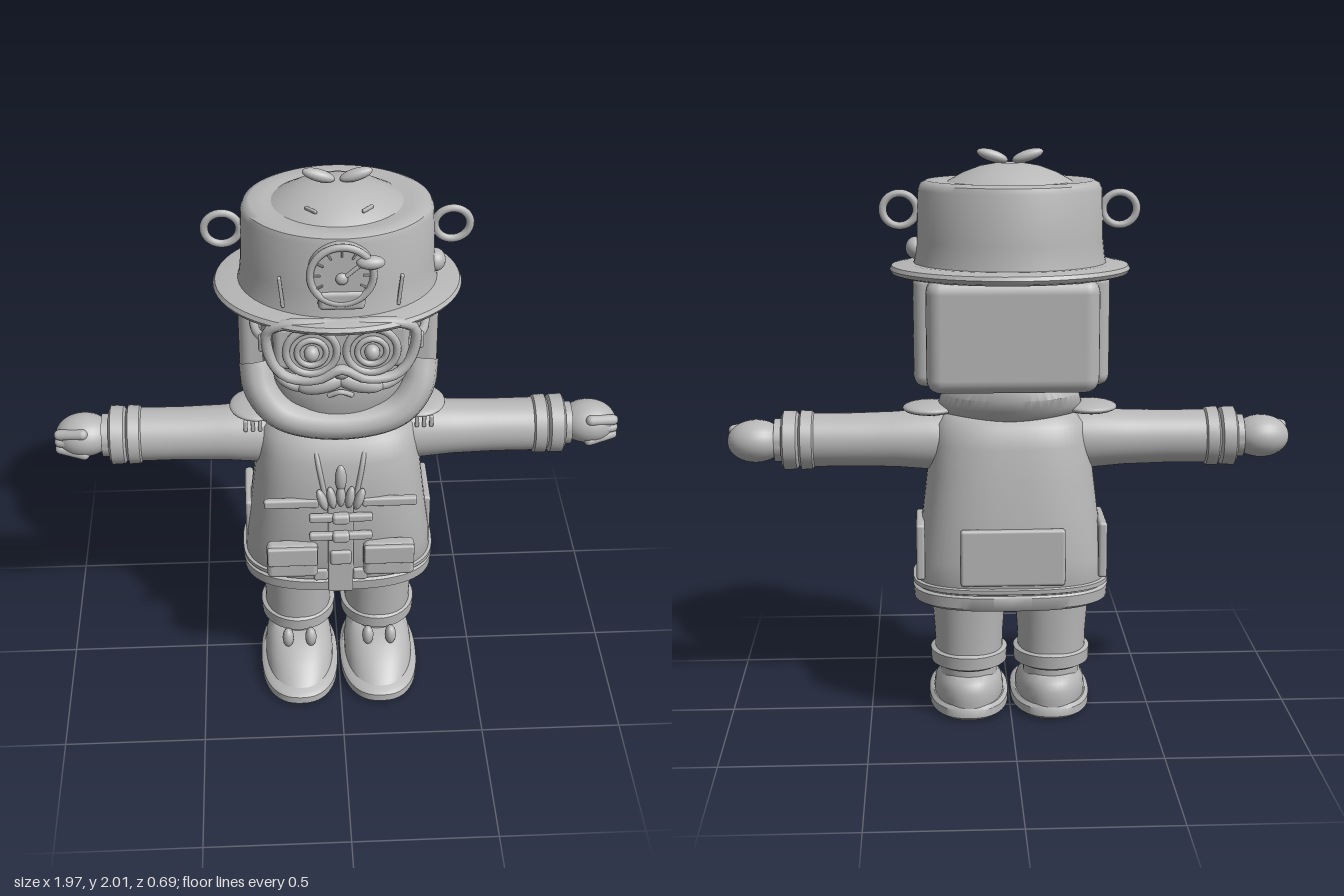
import * as THREE from 'three';
import { toCreasedNormals } from 'three/addons/utils/BufferGeometryUtils.js';
import { RoundedBoxGeometry } from 'three/addons/geometries/RoundedBoxGeometry.js';

export function createModel() {
  const model = new THREE.Group();
  const grey = new THREE.MeshStandardMaterial({ color: 0xb8b8b8 });
  grey.name = 'clay grey';

  const add = (name, geo, x = 0, y = 0, z = 0, parent = model) => {
    const m = new THREE.Mesh(geo, grey);
    m.name = name;
    m.position.set(x, y, z);
    parent.add(m);
    return m;
  };

  // Stacked superellipse rings: [y, half width, front z, back z]
  const loft = (rings, power = 2, n = 48) => {
    const mid = (r) => [r[0], 0, (r[2] + r[3]) / 2, (r[2] + r[3]) / 2];
    const all = [mid(rings[0]), ...rings, mid(rings[rings.length - 1])];
    const pos = [], idx = [];
    const bend = (v) => Math.sign(v) * Math.pow(Math.abs(v), 2 / power);
    all.forEach(([y, rx, zf, zb], i) => {
      for (let j = 0; j < n; j++) {
        const a = (j / n) * Math.PI * 2;
        pos.push(rx * bend(Math.cos(a)), y, (zf + zb) / 2 + ((zf - zb) / 2) * bend(Math.sin(a)));
        if (i === all.length - 1) continue;
        const p = i * n + j, q = i * n + ((j + 1) % n);
        idx.push(p, p + n, q, q, p + n, q + n);
      }
    });
    const g = new THREE.BufferGeometry();
    g.setAttribute('position', new THREE.Float32BufferAttribute(pos, 3));
    g.setIndex(idx);
    return toCreasedNormals(g, 0.75);
  };
  const round = (pairs) => loft(pairs.map(([y, r]) => [y, r, r, -r]));
  const tube = (name, pts, r, closed = false) => add(name, new THREE.TubeGeometry(
    new THREE.CatmullRomCurve3(pts.map((p) => new THREE.Vector3(...p)), closed), 48, r, 10, closed));
  const box = (name, w, h, d, x, y, z, rot = 0) => {
    const m = add(name, new RoundedBoxGeometry(w, h, d, 3, Math.min(w, h, d) * 0.35), x, y, z);
    m.rotation.z = rot;
    return m;
  };
  const ball = (name, rx, ry, rz, x, y, z, rot = 0) => {
    const m = add(name, new THREE.SphereGeometry(1, 24, 16), x, y, z);
    m.scale.set(rx, ry, rz);
    m.rotation.z = rot;
    return m;
  };
  const ring = (name, R, r, x, y, z) => add(name, new THREE.TorusGeometry(R, r, 10, 40), x, y, z);
  const disc = (name, R, d, x, y, z) => {
    const m = add(name, new THREE.CylinderGeometry(R, R, d, 40), x, y, z);
    m.rotation.x = Math.PI / 2;
    return m;
  };

  // Vest and its hem rolls
  add('vest', loft([[0.46, 0.325, 0.2, -0.22], [0.5, 0.335, 0.215, -0.235], [0.6, 0.33, 0.23, -0.237],
    [0.75, 0.308, 0.24, -0.225], [0.9, 0.29, 0.235, -0.205], [1.0, 0.278, 0.22, -0.188],
    [1.07, 0.262, 0.195, -0.172], [1.1, 0.23, 0.16, -0.14], [1.12, 0.17, 0.12, -0.1]], 2.8, 64));
  add('lowerHem', loft([[0.435, 0.325, 0.205, -0.225], [0.445, 0.342, 0.218, -0.235],
    [0.485, 0.345, 0.222, -0.238], [0.495, 0.33, 0.21, -0.23]], 2.8, 64));
  add('upperHem', loft([[0.495, 0.33, 0.21, -0.23], [0.5, 0.345, 0.222, -0.24],
    [0.515, 0.345, 0.224, -0.241], [0.52, 0.33, 0.215, -0.235]], 2.8, 64));
  box('backPocket', 0.36, 0.2, 0.03, 0, 0.63, -0.228);

  // Head, collar and beard
  add('collar', loft([[1.08, 0.2, 0.16, -0.14], [1.1, 0.24, 0.19, -0.16], [1.13, 0.25, 0.195, -0.18],
    [1.17, 0.24, 0.18, -0.2], [1.21, 0.2, 0.15, -0.19]]));
  add('head', loft([[1.12, 0.08, 0.14, -0.08], [1.15, 0.16, 0.19, -0.14], [1.2, 0.23, 0.21, -0.17],
    [1.28, 0.265, 0.215, -0.19], [1.4, 0.275, 0.215, -0.2], [1.6, 0.275, 0.22, -0.2]], 2.3));
  tube('beard', [[-0.275, 1.36, 0.1], [-0.26, 1.27, 0.14], [-0.19, 1.19, 0.17], [0, 1.155, 0.185],
    [0.19, 1.19, 0.17], [0.26, 1.27, 0.14], [0.275, 1.36, 0.1]], 0.06);
  box('backHair', 0.58, 0.385, 0.14, 0, 1.4, -0.205);
  tube('mouth', [[-0.04, 1.285, 0.215], [0, 1.305, 0.225], [0.04, 1.285, 0.215]], 0.009);
  ball('nose', 0.035, 0.035, 0.045, 0, 1.41, 0.24);

  // Pot hat with brim, lid and sprout
  add('brim', loft([[1.58, 0.385, 0.305, -0.32], [1.587, 0.405, 0.325, -0.34], [1.6, 0.412, 0.333, -0.347],
    [1.613, 0.405, 0.325, -0.34], [1.622, 0.36, 0.29, -0.3]], 2, 64));
  add('pot', loft([[1.6, 0.335, 0.28, -0.29], [1.64, 0.325, 0.272, -0.283], [1.7, 0.318, 0.262, -0.277],
    [1.87, 0.313, 0.256, -0.272], [1.89, 0.305, 0.25, -0.265], [1.9, 0.285, 0.23, -0.245],
    [1.895, 0.24, 0.2, -0.215]], 2, 64));
  add('lid', loft([[1.88, 0.24, 0.2, -0.215], [1.9, 0.205, 0.175, -0.19], [1.925, 0.16, 0.13, -0.15],
    [1.947, 0.1, 0.08, -0.1], [1.957, 0.04, 0.035, -0.045]]));
  ball('potKnob', 0.035, 0.038, 0.042, 0.322, 1.67, 0);

  // Gauge on the front of the pot
  disc('gaugeBody', 0.105, 0.06, 0, 1.78, 0.255);
  ring('gaugeRim', 0.1, 0.012, 0, 1.78, 0.285);
  box('gaugeBase', 0.15, 0.07, 0.05, 0, 1.69, 0.268);
  box('gaugeNeedle', 0.012, 0.1, 0.01, 0.03, 1.795, 0.29, -0.85);
  ball('gaugeHub', 0.02, 0.02, 0.015, 0, 1.77, 0.288);
  ball('gaugeSpout', 0.045, 0.022, 0.025, 0.09, 1.825, 0.285);
  for (let i = 0; i < 9; i++) {
    const a = -0.5 + (i / 8) * 4.14;
    box('gaugeTick', 0.022, 0.006, 0.008, 0.078 * Math.cos(a), 1.78 + 0.078 * Math.sin(a), 0.287, a);
  }

  // Goggle frame and nose bridge
  tube('goggleFrame', [[0, 1.605, 0.285], [0.17, 1.605, 0.28], [0.235, 1.57, 0.262], [0.23, 1.47, 0.262],
    [0.18, 1.405, 0.275], [0.08, 1.4, 0.29], [0, 1.44, 0.295], [-0.08, 1.4, 0.29], [-0.18, 1.405, 0.275],
    [-0.23, 1.47, 0.262], [-0.235, 1.57, 0.262], [-0.17, 1.605, 0.28]], 0.018, true);
  box('goggleBacking', 0.44, 0.17, 0.07, 0, 1.505, 0.235);

  // Centre of the vest
  box('placket', 0.09, 0.4, 0.02, 0, 0.66, 0.236);
  ball('whistle', 0.02, 0.055, 0.02, 0, 0.96, 0.24);
  for (let i = -2; i <= 2; i++) ball('charm', 0.016, 0.045, 0.02, i * 0.032, 0.89 - Math.abs(i) * 0.008, 0.245, -i * 0.15);
  for (const y of [0.8, 0.72]) {
    box('clasp', 0.22, 0.03, 0.025, 0, y, 0.25);
    box('claspCentre', 0.06, 0.04, 0.035, 0, y, 0.255);
  }
  box('buckle', 0.075, 0.06, 0.03, 0, 0.62, 0.242);

  for (const s of [-1, 1]) {
    // Hat and hair sides
    box('sideHair', 0.11, 0.39, 0.25, s * 0.278, 1.405, -0.025);
    ring('potHandle', 0.055, 0.013, s * 0.375, 1.8, -0.005).scale.x = 1.05;
    ball('sproutLeaf', 0.055, 0.02, 0.022, s * 0.06, 1.98, -0.01, s * 0.3);
    box('potRivet', 0.012, 0.11, 0.016, s * 0.19, 1.69, 0.222, -s * 0.1);
    box('lidSlit', 0.01, 0.012, 0.05, s * 0.09, 1.925, 0.12).rotation.y = -s * 0.75;

    // Eyes, strap and moustache
    disc('eye', 0.085, 0.05, s * 0.097, 1.505, 0.265);
    ring('lensRim', 0.082, 0.013, s * 0.097, 1.505, 0.288);
    ring('iris', 0.047, 0.01, s * 0.097, 1.505, 0.295);
    ball('pupil', 0.025, 0.028, 0.025, s * 0.097, 1.505, 0.3);
    tube('goggleStrap', [[s * 0.235, 1.53, 0.26], [s * 0.27, 1.53, 0.2], [s * 0.285, 1.53, 0.08]], 0.015);
    box('strapClip', 0.03, 0.06, 0.03, s * 0.252, 1.52, 0.25);
    ball('moustache', 0.085, 0.035, 0.035, s * 0.06, 1.35, 0.235, -s * 0.25);
    tube('moustacheTip', [[s * 0.09, 1.34, 0.235], [s * 0.15, 1.335, 0.225], [s * 0.195, 1.36, 0.21],
      [s * 0.21, 1.4, 0.2]], 0.018);

    // Vest trims and pockets
    tube('lapel', [[s * 0.09, 1.09, 0.16], [s * 0.075, 1.0, 0.217], [s * 0.05, 0.86, 0.236]], 0.009);
    box('chestBand', 0.19, 0.035, 0.025, s * 0.17, 0.85, 0.227);
    box('pocket', 0.18, 0.14, 0.055, s * 0.17, 0.61, 0.235);
    box('pocketFlap', 0.175, 0.075, 0.02, s * 0.17, 0.64, 0.262);
    box('hemTab', 0.05, 0.05, 0.025, s * 0.07, 0.525, 0.22);
    box('sidePouch', 0.03, 0.2, 0.22, s * 0.317, 0.63, -0.05);
    ball('epaulette', 0.095, 0.022, 0.1, s * 0.28, 1.112, 0);
    for (let i = 0; i < 3; i++) box('fringe', 0.014, 0.045, 0.014, s * (0.27 + i * 0.025), 1.085, 0.09);

    // Arm, cuffs and hand, built upright then laid sideways
    const arm = new THREE.Group();
    arm.name = s > 0 ? 'leftArm' : 'rightArm';
    arm.position.y = 1.0;
    arm.rotation.z = -s * Math.PI / 2;
    model.add(arm);
    add('sleeve', round([[0.18, 0.1], [0.28, 0.107], [0.4, 0.097], [0.55, 0.093], [0.7, 0.094]]), 0, 0, 0, arm);
    for (const [a, b] of [[0.68, 0.735], [0.735, 0.795]]) {
      add('cuff', round([[a, 0.09], [a + 0.008, 0.102], [b - 0.008, 0.104], [b, 0.09]]), 0, 0, 0, arm);
    }
    add('wrist', round([[0.78, 0.075], [0.82, 0.075]]), 0, 0, 0, arm);
    add('hand', new THREE.SphereGeometry(1, 28, 18), 0, 0.885, -0.008, arm).scale.set(0.075, 0.1, 0.086);
    for (let i = -1; i <= 1; i++) {
      const f = add('finger', new THREE.CapsuleGeometry(0.019, 0.085, 5, 12), i * 0.036, 0.925, 0.045, arm);
      f.rotation.set(-0.25, 0, i * 0.15);
    }

    // Leg, cuff and shoe
    const leg = new THREE.Group();
    leg.name = s > 0 ? 'leftLeg' : 'rightLeg';
    leg.position.x = s * 0.148;
    model.add(leg);
    add('trouser', loft([[0.21, 0.12, 0.13, -0.14], [0.3, 0.122, 0.135, -0.143], [0.47, 0.135, 0.145, -0.155]], 2.2), 0, 0, 0, leg);
    add('trouserCuff', loft([[0.18, 0.115, 0.125, -0.135], [0.19, 0.135, 0.14, -0.15],
      [0.235, 0.137, 0.142, -0.153], [0.245, 0.12, 0.13, -0.14]]), 0, 0, 0, leg);
    add('ankle', loft([[0.12, 0.1, 0.1, -0.11], [0.19, 0.1, 0.1, -0.11]]), 0, 0, 0, leg);
    add('sole', loft([[0, 0.13, 0.33, -0.14], [0.012, 0.143, 0.345, -0.155], [0.04, 0.143, 0.345, -0.155],
      [0.052, 0.13, 0.33, -0.145]], 2.4), 0, 0, 0, leg);
    add('shoe', loft([[0.045, 0.125, 0.315, -0.15], [0.07, 0.125, 0.285, -0.152], [0.1, 0.12, 0.24, -0.15],
      [0.13, 0.107, 0.19, -0.14], [0.15, 0.09, 0.13, -0.115]], 2.2), 0, 0, 0, leg);
    for (const x of [-0.042, 0.042]) {
      add('laceLoop', new THREE.SphereGeometry(1, 16, 12), x, 0.168, 0.155, leg).scale.set(0.021, 0.04, 0.026);
    }
  }
  return model;
}
